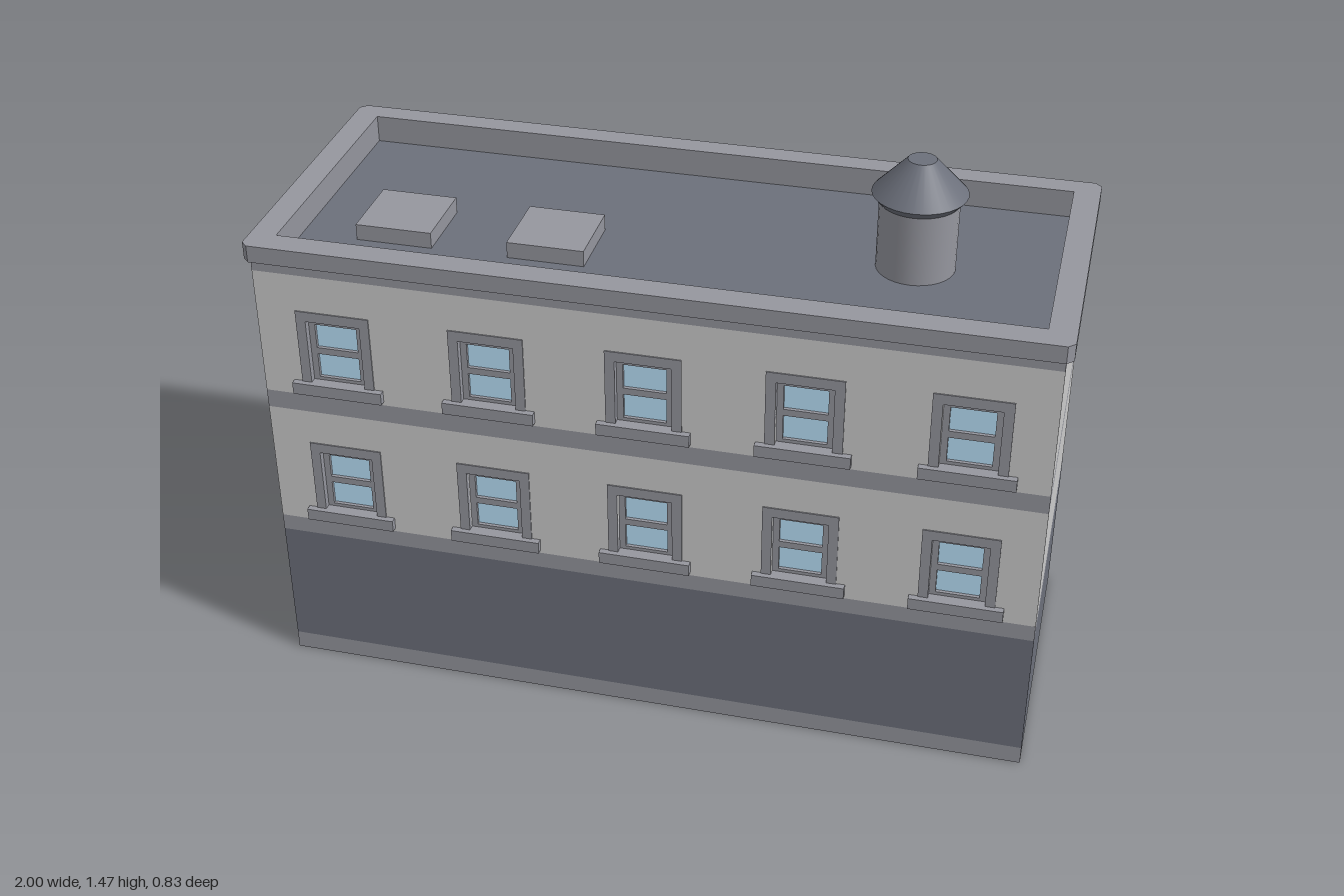
import * as THREE from 'three';

const mat = (color) => new THREE.MeshStandardMaterial({ color });
const WALL = mat(0xcccccc), TRIM = mat(0x95969e), DARK = mat(0x6c707b);
const GLASS = mat(0xbbe3fc), GREEN = mat(0x60c4a3);

const HALF = 0.983, FRONT = 0.398, BACK = -0.39, DEEP = 0.03;

function add(parent, name, geometry, material) {
  const mesh = new THREE.Mesh(geometry, material);
  mesh.name = name;
  parent.add(mesh);
  return mesh;
}

// Box given by its limits on each axis
function box(parent, name, material, x0, x1, y0, y1, z0, z1) {
  const mesh = add(parent, name, new THREE.BoxGeometry(x1 - x0, y1 - y0, z1 - z0), material);
  mesh.position.set((x0 + x1) / 2, (y0 + y1) / 2, (z0 + z1) / 2);
  return mesh;
}

const rect = (Type, [x0, x1, y0, y1]) => new Type([
  new THREE.Vector2(x0, y0), new THREE.Vector2(x1, y0),
  new THREE.Vector2(x1, y1), new THREE.Vector2(x0, y1)]);

// Upright plate with rectangular openings, between z0 and z1
function plate(parent, name, material, outer, holes, z0, z1) {
  const shape = rect(THREE.Shape, outer);
  for (const h of holes) shape.holes.push(rect(THREE.Path, h));
  const geometry = new THREE.ExtrudeGeometry(shape, { depth: z1 - z0, bevelEnabled: false });
  geometry.translate(0, 0, z0);
  return add(parent, name, geometry, material);
}

const inset = ([x0, x1, y0, y1], d) => [x0 + d, x1 - d, y0 + d, y1 - d];

const LEVELS = [
  ['baseBand', TRIM, 0, 0.05],
  ['groundFloorWall', DARK, 0.05, 0.4],
  ['lowerBand', TRIM, 0.4, 0.445],
  ['middleFloorWall', WALL, 0.445, 0.785],
  ['middleBand', TRIM, 0.785, 0.835],
  ['topFloorWall', WALL, 0.835, 1.18],
];
const COLUMNS = [-2, -1, 0, 1, 2].map((i) => i * 0.393);
const ROWS = [0, 0.39];

// Each facade is built facing +z with its wall surface at z = 0
function makeWindow(parent, name, outer, opening, upright) {
  const g = new THREE.Group();
  g.name = name;
  plate(g, 'windowSurround', TRIM, outer, [opening], -0.02, 0.003);
  const inner = inset(opening, 0.016);
  plate(g, 'windowSash', TRIM, opening, [inner], -DEEP, -0.015);
  box(g, 'windowGlass', GLASS, ...opening, -DEEP, -0.024);
  const [x0, x1, y0, y1] = inner;
  const cx = (x0 + x1) / 2, cy = (y0 + y1) / 2;
  if (upright) {
    box(g, 'meetingRail', TRIM, x0, x1, cy - 0.009, cy + 0.009, -0.026, -0.015);
    box(g, 'windowSill', TRIM, cx - 0.117, cx + 0.117, outer[2] - 0.01, outer[2] + 0.022, -0.02, 0.017);
  } else {
    box(g, 'mullion', TRIM, cx - 0.008, cx + 0.008, y0, y1, -0.026, -0.015);
  }
  parent.add(g);
}

function makeFacade(name, upright) {
  const g = new THREE.Group();
  g.name = name;
  const openings = [];
  for (const dy of ROWS) for (const x of COLUMNS) {
    const outer = upright ? [x - 0.095, x + 0.095, 0.465 + dy, 0.69 + dy]
      : [x - 0.142, x + 0.142, 0.5 + dy, 0.68 + dy];
    const opening = upright ? [x - 0.07, x + 0.07, 0.48 + dy, 0.663 + dy] : inset(outer, 0.03);
    openings.push(opening);
    makeWindow(g, upright ? 'sashWindow' : 'wideWindow', outer, opening, upright);
  }
  LEVELS.forEach(([part, material, y0, y1], i) => {
    if (!upright && i < 2) return;
    const holes = openings.filter((o) => o[2] > y0 && o[3] < y1);
    plate(g, part, material, [-HALF, HALF, y0, y1], holes, -DEEP, 0);
  });
  return g;
}

// Shop front: piers, two display windows, glazed entrance and a sign board
function makeShopFront(g) {
  const top = 0.265;
  box(g, 'shopLintel', DARK, -HALF, HALF, top, 0.4, -DEEP, 0);
  for (const s of [-1, 1]) {
    const span = (name, m, a, b, y0, y1, z0, z1) =>
      box(g, name, m, Math.min(s * a, s * b), Math.max(s * a, s * b), y0, y1, z0, z1);
    span('shopBase', TRIM, 0.13, HALF, 0, 0.05, -DEEP, 0);
    span('innerPier', DARK, 0.13, 0.28, 0.05, top, -DEEP, 0);
    span('outerPier', DARK, 0.9, HALF, 0.05, top, -DEEP, 0);
    span('displayGlass', GLASS, 0.28, 0.9, 0.05, top, -DEEP, -0.02);
    plate(g, 'displaySurround', TRIM, s > 0 ? [0.245, 0.935, 0.02, 0.3] : [-0.935, -0.245, 0.02, 0.3],
      [s > 0 ? [0.28, 0.9, 0.05, top] : [-0.9, -0.28, 0.05, top]], -0.02, 0.003);
    span('doorJamb', TRIM, 0.125, 0.16, 0, 0.3, -DEEP, 0.004);
    span('sidelightGlass', GLASS, 0.08, 0.112, 0.03, 0.25, -DEEP, -0.014);
  }
  box(g, 'doorHead', TRIM, -0.125, 0.125, top, 0.3, -DEEP, 0.004);
  box(g, 'doorFrame', TRIM, -0.13, 0.13, 0, top, -DEEP, -0.018);
  box(g, 'doorGlass', GLASS, -0.05, 0.05, 0.03, 0.25, -DEEP, -0.014);
  box(g, 'signBoard', DARK, -HALF, HALF, 0.295, 0.395, -0.01, 0.02);
  box(g, 'signPanel', GREEN, -HALF, HALF, 0.297, 0.393, 0.019, 0.023);
}

// Flat ring seen from above, with small cut corners and a rectangular hole
function roofRing(parent, name, hx, z0, z1, cut, y0, y1) {
  const shape = new THREE.Shape([
    [-hx + cut, z0], [hx - cut, z0], [hx, z0 + cut], [hx, z1 - cut],
    [hx - cut, z1], [-hx + cut, z1], [-hx, z1 - cut], [-hx, z0 + cut],
  ].map(([x, z]) => new THREE.Vector2(x, -z)).reverse());
  shape.holes.push(rect(THREE.Path, [-0.933, 0.933, -0.345, 0.345]));
  const geometry = new THREE.ExtrudeGeometry(shape, { depth: y1 - y0, bevelEnabled: false });
  geometry.rotateX(-Math.PI / 2).translate(0, y0, 0);
  add(parent, name, geometry, TRIM);
}

export function createModel() {
  const model = new THREE.Group();
  model.name = 'building';

  // Inner core, stacked by storey so the side walls show the bands
  for (const [name, material, y0, y1] of LEVELS) {
    box(model, name, material, -HALF, HALF, y0, y1, BACK + DEEP, FRONT - DEEP);
  }

  const front = makeFacade('frontFacade', true);
  front.position.z = FRONT;
  const back = makeFacade('backFacade', false);
  back.position.z = BACK;
  back.rotation.y = Math.PI;
  makeShopFront(back);
  model.add(front, back);

  // Air conditioner in one of the back windows
  box(model, 'airConditioner', DARK, 0.805, 0.9, 0.93, 0.99, -0.406, -0.36);

  // Roof with parapet and cornice
  box(model, 'roofDeck', DARK, -0.94, 0.94, 1.16, 1.183, -0.35, 0.35);
  roofRing(model, 'parapet', HALF, BACK, FRONT, 0.0005, 1.18, 1.21);
  roofRing(model, 'cornice', 1, -0.406, 0.413, 0.017, 1.21, 1.255);
  for (const x of [-0.69, -0.298]) {
    box(model, 'roofHatch', TRIM, x - 0.098, x + 0.098, 1.18, 1.225, 0, 0.196);
  }

  // Roof vent with conical cap
  const vent = new THREE.Group();
  vent.name = 'roofVent';
  vent.position.set(0.585, 0, 0);
  add(vent, 'ventPipe', new THREE.CylinderGeometry(0.098, 0.098, 0.19, 32), TRIM).position.y = 1.275;
  add(vent, 'capRim', new THREE.CylinderGeometry(0.117, 0.1, 0.02, 32), DARK).position.y = 1.375;
  add(vent, 'cap', new THREE.CylinderGeometry(0.035, 0.117, 0.088, 32), DARK).position.y = 1.429;
  model.add(vent);

  return model;
}
